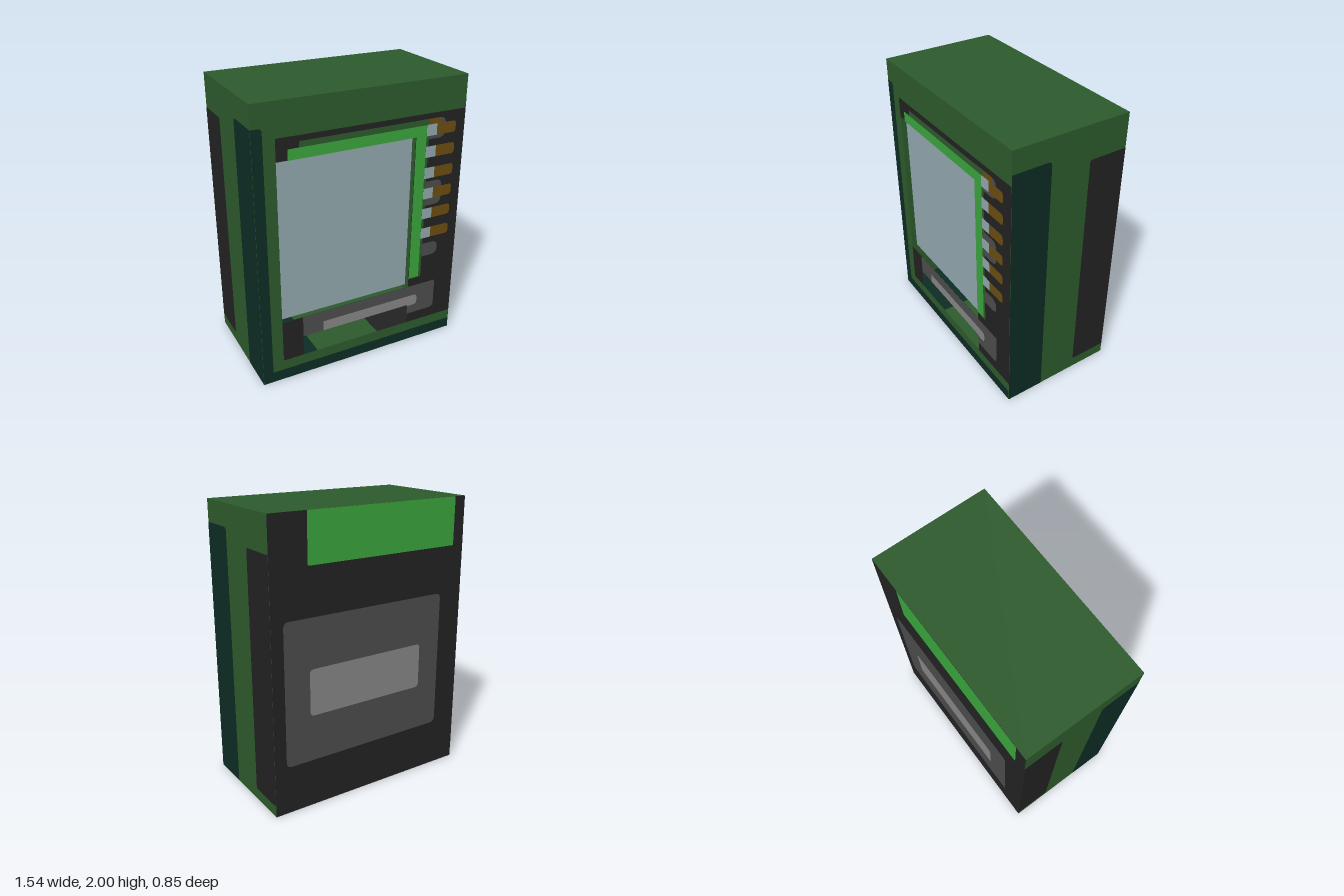
import * as THREE from 'three';

const W = 0.767, H = 2, D = 0.42; // half width, height, half depth

const paint = (name, color) => {
  const m = new THREE.MeshStandardMaterial({ color, side: THREE.DoubleSide });
  m.name = name;
  return m;
};

// Rectangle [x0, y0, x1, y1] with corner radii [bl, br, tr, tl]
function plate([x0, y0, x1, y1], [bl, br, tr, tl] = [0, 0, 0, 0]) {
  const s = new THREE.Shape();
  s.moveTo(x0 + bl, y0);
  s.lineTo(x1 - br, y0);
  if (br) s.quadraticCurveTo(x1, y0, x1, y0 + br);
  s.lineTo(x1, y1 - tr);
  if (tr) s.quadraticCurveTo(x1, y1, x1 - tr, y1);
  s.lineTo(x0 + tl, y1);
  if (tl) s.quadraticCurveTo(x0, y1, x0, y1 - tl);
  s.lineTo(x0, y0 + bl);
  if (bl) s.quadraticCurveTo(x0, y0, x0 + bl, y0);
  return new THREE.ShapeGeometry(s, 4);
}

// Pieces of a rectangle left over after removing a rectangular hole
function cut(r, h) {
  const [x0, y0, x1, y1] = r;
  const a = Math.max(x0, h[0]), b = Math.max(y0, h[1]);
  const c = Math.min(x1, h[2]), d = Math.min(y1, h[3]);
  if (a >= c || b >= d) return [r];
  return [[x0, y0, x1, b], [x0, d, x1, y1], [x0, b, a, d], [c, b, x1, d]]
    .filter(([p, q, s, t]) => s - p > 1e-4 && t - q > 1e-4);
}

export function createModel() {
  const green = paint('body green', 0x2d5a2c);
  const teal = paint('dark teal', 0x0d2c24);
  const black = paint('charcoal', 0x222222);
  const grey = paint('dark grey', 0x4c4c4c);
  const silver = paint('light grey', 0x868686);
  const lime = paint('bright green', 0x3aa43c);
  const glass = paint('pale blue', 0x92a8ae);
  const gold = paint('bronze', 0x6b4c10);

  const model = new THREE.Group();
  model.name = 'deviceBox';

  const holes = [[-0.615, 0.467, 0.38, 1.62], [-0.463, 0.155, 0.38, 0.31]];

  // One wall: each item is [name, material, rectangle, layer, radii]
  function wall(name, position, rotation, items, openings = []) {
    const g = new THREE.Group();
    g.name = name;
    g.position.set(...position);
    g.rotation.set(...rotation);
    for (const [part, mat, rect, layer = 0, radii] of items) {
      let pieces = [rect];
      for (const h of openings) pieces = pieces.flatMap((r) => cut(r, h));
      for (const r of pieces) {
        const mesh = new THREE.Mesh(plate(r, pieces.length === 1 ? radii : undefined), mat);
        mesh.name = part;
        mesh.position.z = layer * 0.0012;
        g.add(mesh);
      }
    }
    model.add(g);
  }

  // Front with screen opening, slot, circuit board and pins
  const tab = [0, 0.05, 0.05, 0];
  const front = [
    ['frontShell', green, [-W, 0, W, H]],
    ['frontSideTrim', teal, [-W, 0, -0.695, 1.845], 1, [0, 0, 0.025, 0]],
    ['frontBaseTrim', teal, [-W, 0, W, 0.08], 1],
    ['frontPanel', black, [-0.615, 0.155, W, 1.77], 1],
    ['lowerPlate', grey, [-0.463, 0.232, 0.38, 0.467], 2],
    ['lowerPlateEnd', grey, [0.38, 0.232, 0.612, 0.467], 2, [0, 0.035, 0, 0]],
    ['lowerBar', silver, [-0.31, 0.3, 0.38, 0.386], 3],
    ['lowerBarEnd', silver, [0.38, 0.3, 0.46, 0.386], 3, [0, 0.03, 0.03, 0]],
    ['bronzeShade', gold, [0.47, 1.68, 0.575, 1.733], 3],
    ['boardShade', green, [-0.463, 0.533, 0.48, 1.733], 4, [0, 0.025, 0, 0]],
    ['circuitBoard', lime, [-0.54, 0.54, 0.46, 1.693], 5],
  ];
  for (const [y0, y1] of [[1.59, 1.733], [1.1, 1.283], [0.695, 0.8]])
    front.push(['panelTab', grey, [0.4, y0, 0.612, y1], 2, tab]);
  for (let i = 0; i < 6; i++) {
    const y = 1.615 - i * 0.1535;
    front.push(['pinBase', glass, [0.46, y, 0.54, y + 0.08], 6]);
    front.push(['pin', gold, [0.54, y, 0.692, y + 0.08], 6, [0, 0.025, 0.025, 0]]);
  }
  wall('front', [0, 0, D], [0, 0, 0], front, holes);

  // Screen set just behind its opening, and plate seen through the slot
  wall('display', [0, 0, D - 0.04], [0, 0, 0], [['screen', glass, holes[0]]]);
  wall('interior', [0, 0, -D + 0.01], [0, 0, 0],
    [['innerPlate', grey, [-0.463, 0.232, 0.612, 0.467]]]);

  // Back
  const r4 = (r) => [r, r, r, r];
  wall('back', [0, 0, -D], [0, Math.PI, 0], [
    ['backShell', black, [-W, 0, W, H]],
    ['backPlate', grey, [-0.68, 0.34, 0.583, 1.335], 1, r4(0.04)],
    ['backBar', silver, [-0.495, 0.665, 0.41, 0.99], 2, r4(0.03)],
    ['backTopPatch', lime, [-0.5, 1.665, 0.68, H], 1, [0.01, 0.01, 0, 0]],
  ]);

  // Mirrored sides: s = 1 is the +x wall
  for (const s of [1, -1]) {
    const span = (z0, y0, z1, y1) => (s > 0 ? [-z1, y0, -z0, y1] : [z0, y0, z1, y1]);
    const corner = (r) => (s > 0 ? [0, 0, r, 0] : [0, 0, 0, r]);
    const inner = s > 0 ? [0.015, 0, 0, 0.015] : [0, 0.015, 0.015, 0];
    wall(s > 0 ? 'leftSide' : 'rightSide', [s * W, 0, 0], [0, s * Math.PI / 2, 0], [
      ['sideShell', green, [-D, 0, D, H]],
      ['sideTrim', teal, span(0.143, 0, D, 1.845), 1, corner(0.03)],
      ['sidePanel', black, span(-D, 0.08, -0.143, 1.76), 1, inner],
    ]);
  }

  // Top and base
  wall('top', [0, H, 0], [-Math.PI / 2, 0, 0], [['topShell', green, [-W, -D, W, D]]]);
  wall('base', [0, 0, 0], [Math.PI / 2, 0, 0], [
    ['baseTeal', teal, [-W, -D, -0.27, D]],
    ['baseGreen', green, [-0.27, -D, 0.24, D]],
    ['baseGreenEnd', green, [0.24, -D, W, -0.157]],
    ['baseBlack', black, [0.24, -0.157, W, D]],
  ]);
  return model;
}
